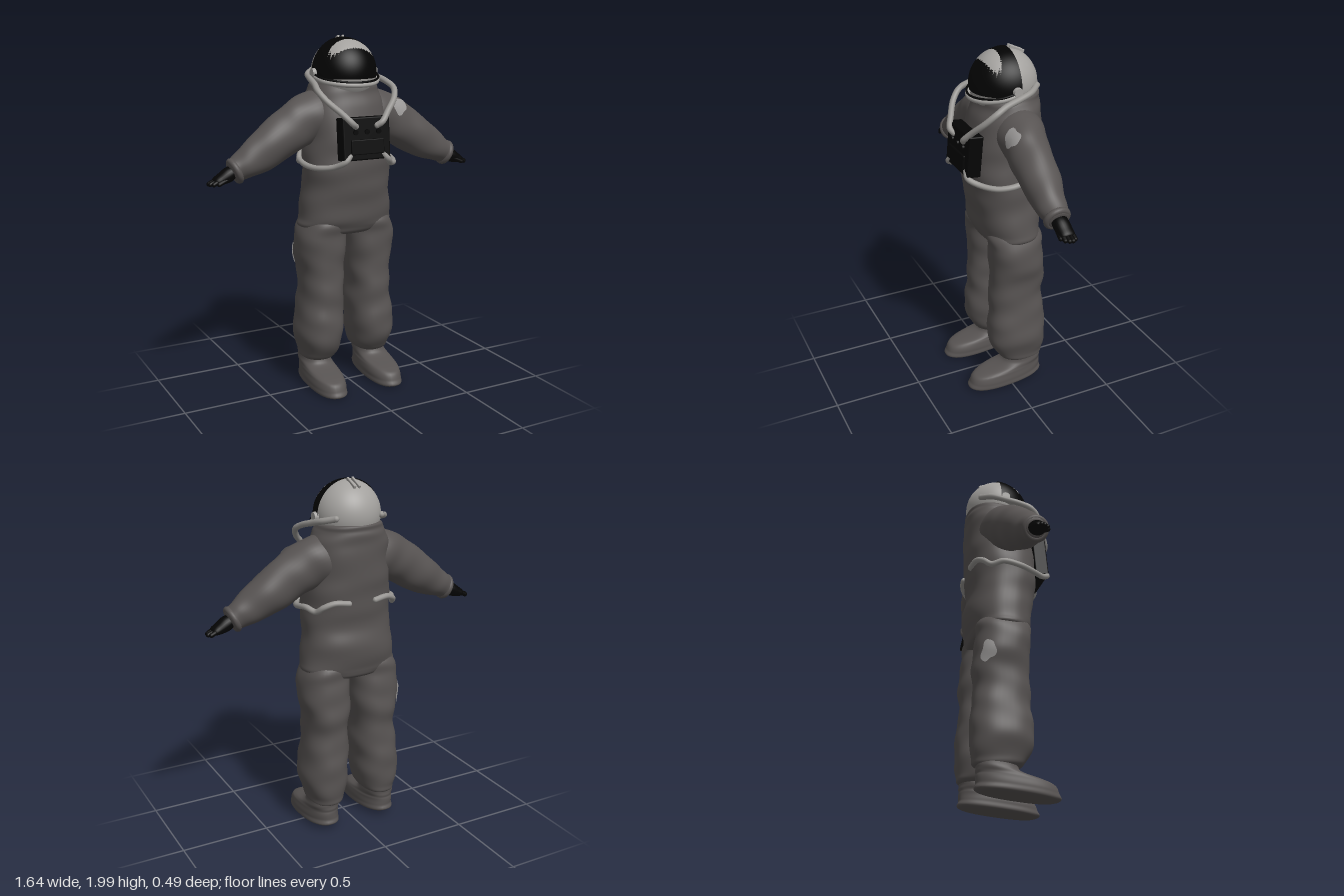
import * as THREE from 'three';
import { RoundedBoxGeometry } from 'three/addons/geometries/RoundedBoxGeometry.js';

const V = (x, y, z) => new THREE.Vector3(x, y, z);
const paint = (name, color, side = THREE.FrontSide) => {
  const m = new THREE.MeshStandardMaterial({ color, side });
  m.name = name;
  return m;
};

// Smooth surface through elliptical rows [x, y, z, radiusU, radiusZ, tilt in degrees]
function surface(rows, m = 1, wrinkle = 0.012, power = 0.85) {
  const last = rows.length - 1;
  const at = (v, k) => {
    const i = Math.min(Math.floor(v), last - 1), f = v - i;
    const [a, b, c, d] = [i - 1, i, i + 1, i + 2].map(n => rows[Math.max(0, Math.min(last, n))][k] ?? 0);
    return b + 0.5 * f * (c - a + f * (2 * a - 5 * b + 4 * c - d + f * (3 * (b - c) + d - a)));
  };
  const bend = s => Math.sign(s) * Math.abs(s) ** power;
  const point = (v, t, lift = 0) => {
    const w = 1 + wrinkle * (Math.sin(v * 2.7 + 3 * t) + Math.sin(v * 4.3 - 2 * t));
    const u = (Math.max(at(v, 3), 0.0002) * w + lift) * bend(Math.cos(t));
    const z = (Math.max(at(v, 4), 0.0002) * w + lift) * bend(Math.sin(t));
    const tilt = at(v, 5) * Math.PI / 180;
    return V(m * (at(v, 0) + u * Math.cos(tilt)), at(v, 1) + u * Math.sin(tilt), at(v, 2) + z);
  };
  return { point, last, m };
}

function loft(s, sides = 40, steps = 7) {
  const pos = [], idx = [], n = s.last * steps;
  for (let i = 0; i <= n; i++) {
    for (let j = 0; j < sides; j++) {
      pos.push(...s.point(i / steps, j / sides * Math.PI * 2).toArray());
      if (i === n) continue;
      const a = i * sides + j, b = i * sides + (j + 1) % sides, c = a + sides, d = b + sides;
      idx.push(...(s.m > 0 ? [a, b, c, b, d, c] : [a, c, b, b, c, d]));
    }
  }
  const g = new THREE.BufferGeometry();
  g.setAttribute('position', new THREE.Float32BufferAttribute(pos, 3));
  g.setIndex(idx);
  g.computeVertexNormals();
  return g;
}

// Irregular thin patch that follows a lofted surface
function patchOn(s, v0, t0, dv, dt) {
  const g = new THREE.RingGeometry(0.001, 1, 28, 5);
  const p = g.attributes.position;
  for (let i = 0; i < p.count; i++) {
    const a = Math.atan2(p.getY(i), p.getX(i));
    const k = 1 + 0.12 * Math.sin(3 * a + 1) + 0.07 * Math.sin(5 * a);
    const q = s.point(v0 + p.getY(i) * dv * k, t0 + p.getX(i) * dt * k, 0.005);
    p.setXYZ(i, q.x, q.y, q.z);
  }
  g.computeVertexNormals();
  return g;
}

const TORSO = [
  [0, 1.775, -0.075, 0, 0], [0, 1.77, -0.077, 0.15, 0.14], [0, 1.735, -0.07, 0.183, 0.16],
  [0, 1.69, -0.067, 0.205, 0.168], [0, 1.62, -0.055, 0.225, 0.18], [0, 1.5, -0.04, 0.232, 0.195],
  [0, 1.4, -0.033, 0.24, 0.197], [0, 1.3, -0.026, 0.25, 0.194], [0, 1.2, -0.03, 0.25, 0.185],
  [0, 1.1, -0.047, 0.26, 0.187], [0, 1.0, -0.047, 0.274, 0.172], [0, 0.95, -0.05, 0.27, 0.157],
  [0, 0.91, -0.05, 0.19, 0.125], [0, 0.885, -0.05, 0, 0],
];
const LEG = [
  [0.14, 1.06, -0.05, 0.05, 0.07], [0.144, 0.98, -0.05, 0.118, 0.147], [0.152, 0.9, -0.052, 0.14, 0.149],
  [0.155, 0.8, -0.06, 0.139, 0.153], [0.149, 0.7, -0.068, 0.127, 0.155], [0.152, 0.6, -0.056, 0.117, 0.155],
  [0.153, 0.5, -0.064, 0.126, 0.157], [0.163, 0.4, -0.06, 0.128, 0.168], [0.168, 0.3, -0.062, 0.128, 0.167],
  [0.165, 0.21, -0.075, 0.105, 0.145], [0.175, 0.165, -0.09, 0.08, 0.11], [0.175, 0.15, -0.09, 0, 0],
];
const BOOT = [
  [0.178, 0.22, -0.09, 0.08, 0.105], [0.178, 0.15, -0.09, 0.085, 0.11], [0.18, 0.12, -0.07, 0.088, 0.13],
  [0.18, 0.1, -0.012, 0.09, 0.188], [0.18, 0.082, 0.01, 0.094, 0.21], [0.18, 0.045, 0.02, 0.096, 0.22],
  [0.18, 0.008, 0.02, 0.088, 0.21], [0.18, 0.006, 0.02, 0, 0],
];
const ARM = [
  [0.05, 1.6, -0.065, 0.12, 0.12, 75], [0.17, 1.57, -0.06, 0.14, 0.132, 68], [0.27, 1.535, -0.05, 0.133, 0.118, 62],
  [0.36, 1.485, -0.043, 0.121, 0.11, 60], [0.47, 1.415, -0.038, 0.112, 0.102, 58], [0.57, 1.355, -0.03, 0.09, 0.085, 60],
  [0.64, 1.32, -0.028, 0.07, 0.07, 64], [0.68, 1.3, -0.028, 0.055, 0.055, 66], [0.685, 1.298, -0.028, 0, 0, 66],
];
const PALM = [
  [0.66, 1.31, -0.028, 0.03, 0.04, 66], [0.7, 1.288, -0.028, 0.04, 0.044, 66], [0.74, 1.268, -0.029, 0.032, 0.042, 64],
  [0.775, 1.254, -0.03, 0.02, 0.036, 62], [0.782, 1.25, -0.03, 0, 0, 62],
];

export function createModel() {
  const model = new THREE.Group();
  model.name = 'spaceSuit';
  const suit = paint('suitGrey', 0x575352);
  const shell = paint('helmetGrey', 0xa3a19e);
  const hoseGrey = paint('hoseGrey', 0x969491);
  const patchGrey = paint('patchGrey', 0x9a9897, THREE.DoubleSide);
  const black = paint('black', 0x040404);
  const visorBlack = paint('visorBlack', 0x030303, THREE.DoubleSide);
  const add = (name, geo, mat, x = 0, y = 0, z = 0) => {
    const mesh = new THREE.Mesh(geo, mat);
    mesh.name = name;
    mesh.position.set(x, y, z);
    model.add(mesh);
    return mesh;
  };
  const tube = (name, pts, r, mat) => {
    add(name, new THREE.TubeGeometry(new THREE.CatmullRomCurve3(pts), 64, r, 12), mat);
    for (const e of [pts[0], pts[pts.length - 1]]) add(name + 'End', new THREE.SphereGeometry(r, 12, 8), mat, ...e.toArray());
  };
  const finger = (name, a, b, r) => {
    const d = b.clone().sub(a);
    const f = add(name, new THREE.CapsuleGeometry(r, d.length(), 5, 12), black, ...a.clone().add(b).multiplyScalar(0.5).toArray());
    f.quaternion.setFromUnitVectors(V(0, 1, 0), d.normalize());
  };

  add('torso', loft(surface(TORSO, 1, 0.008), 56), suit);

  for (const m of [1, -1]) {
    const side = m > 0 ? 'left' : 'right';
    const leg = surface(LEG, m), arm = surface(ARM, m, 0.015, 1);
    add(side + 'Leg', loft(leg), suit);
    add(side + 'Arm', loft(arm), suit);

    // Boot, with the heel raised a little
    const boot = loft(surface(BOOT, m, 0.004));
    const p = boot.attributes.position;
    for (let i = 0; i < p.count; i++) p.setY(i, p.getY(i) + Math.max(0, 0.03 - (p.getZ(i) + 0.2) * 0.075));
    boot.computeVertexNormals();
    add(side + 'Boot', boot, suit);

    // Cuff and glove
    const cuff = add(side + 'Cuff', new THREE.TorusGeometry(0.056, 0.018, 12, 32), suit, m * 0.664, 1.305, -0.025);
    cuff.quaternion.setFromUnitVectors(V(0, 0, 1), V(m * 0.92, -0.39, 0).normalize());
    add(side + 'Glove', loft(surface(PALM, m, 0, 1), 24, 5), black);
    [-0.056, -0.039, -0.021, -0.004].forEach((z, i) =>
      finger(side + 'Finger', V(m * 0.745, 1.268, z), V(m * [0.795, 0.806, 0.803, 0.79][i], 1.245, z), 0.0125));
    finger(side + 'Thumb', V(m * 0.7, 1.275, 0), V(m * 0.765, 1.246, 0.008), 0.012);

    // Hoses from the chest pack to the helmet and around the waist
    tube(side + 'AirHose', [
      V(m * 0.065, 1.53, 0.21), V(m * 0.09, 1.548, 0.222), V(m * 0.14, 1.6, 0.195), V(m * 0.205, 1.665, 0.15),
      V(m * 0.232, 1.715, 0.1), V(m * 0.222, 1.745, 0.04), V(m * 0.207, 1.768, -0.045), V(m * 0.187, 1.788, -0.12), V(m * 0.135, 1.805, -0.18),
    ], 0.017, hoseGrey);
    tube(side + 'WaistHose', [
      V(m * 0.1, 1.375, 0.215), V(m * 0.13, 1.345, 0.22), V(m * 0.17, 1.315, 0.175), V(m * 0.235, 1.302, 0.1),
      V(m * 0.268, 1.31, 0.02), V(m * 0.263, 1.325, -0.08), V(m * 0.235, 1.31, -0.14), V(m * 0.212, 1.34, -0.182),
      V(m * 0.16, 1.362, -0.208), V(m * 0.08, 1.355, -0.222),
    ], 0.016, hoseGrey);

    // Worn patches: left shoulder and the back of the right thigh
    if (m > 0) add('shoulderPatch', patchOn(arm, 1.98, 0.93, 0.46, 0.4), patchGrey);
    else add('thighPatch', patchOn(leg, 3.3, -0.65, 0.6, 0.3), patchGrey);

    // Helmet hinge and crest bar
    const hinge = add(side + 'Hinge', new THREE.CylinderGeometry(0.024, 0.03, 0.03, 20), shell, m * 0.185, 1.8, -0.045);
    hinge.rotation.z = -m * Math.PI / 2;
    const bar = add(side + 'CrestBar', new RoundedBoxGeometry(0.014, 0.026, 0.09, 2, 0.004), shell, m * 0.014, 1.97, -0.12);
    bar.rotation.x = -0.42;
  }

  // Helmet shell, visor and rim
  add('helmet', new THREE.SphereGeometry(0.181, 48, 32, 0, Math.PI * 2, 0, 2.3), shell, 0, 1.805, -0.05);
  const visor = new THREE.SphereGeometry(0.187, 48, 32, 0, Math.PI, 0, 1.74);
  add('visor', visor.scale(1, 1, 1.1), visorBlack, 0, 1.803, -0.07);
  const rim = (dy, k) => [-1, -0.88, -0.5, 0, 0.5, 0.88, 1].map((s, i) =>
    V(s * 0.188 * k, [1.79, 1.768, 1.754, 1.75, 1.754, 1.768, 1.79][i] + dy, [-0.04, 0.04, 0.115, 0.143, 0.115, 0.04, -0.04][i] * k));
  tube('rim', rim(-0.01, 0.98), 0.014, shell);
  tube('rimSeal', rim(0.006, 1.02), 0.006, black);

  // Chest pack with a raised panel and knobs
  const pack = add('chestPack', new RoundedBoxGeometry(0.286, 0.23, 0.08, 3, 0.008), black, 0, 1.46, 0.178);
  pack.rotation.x = -0.09;
  const panel = add('packPanel', new RoundedBoxGeometry(0.2, 0.08, 0.02, 2, 0.005), black, 0, 1.42, 0.222);
  panel.rotation.x = -0.09;
  for (const x of [-0.07, 0, 0.07]) {
    const knob = add('packKnob', new THREE.CylinderGeometry(0.014, 0.014, 0.02, 16), black, x, 1.5, 0.215);
    knob.rotation.x = Math.PI / 2;
  }
  return model;
}
